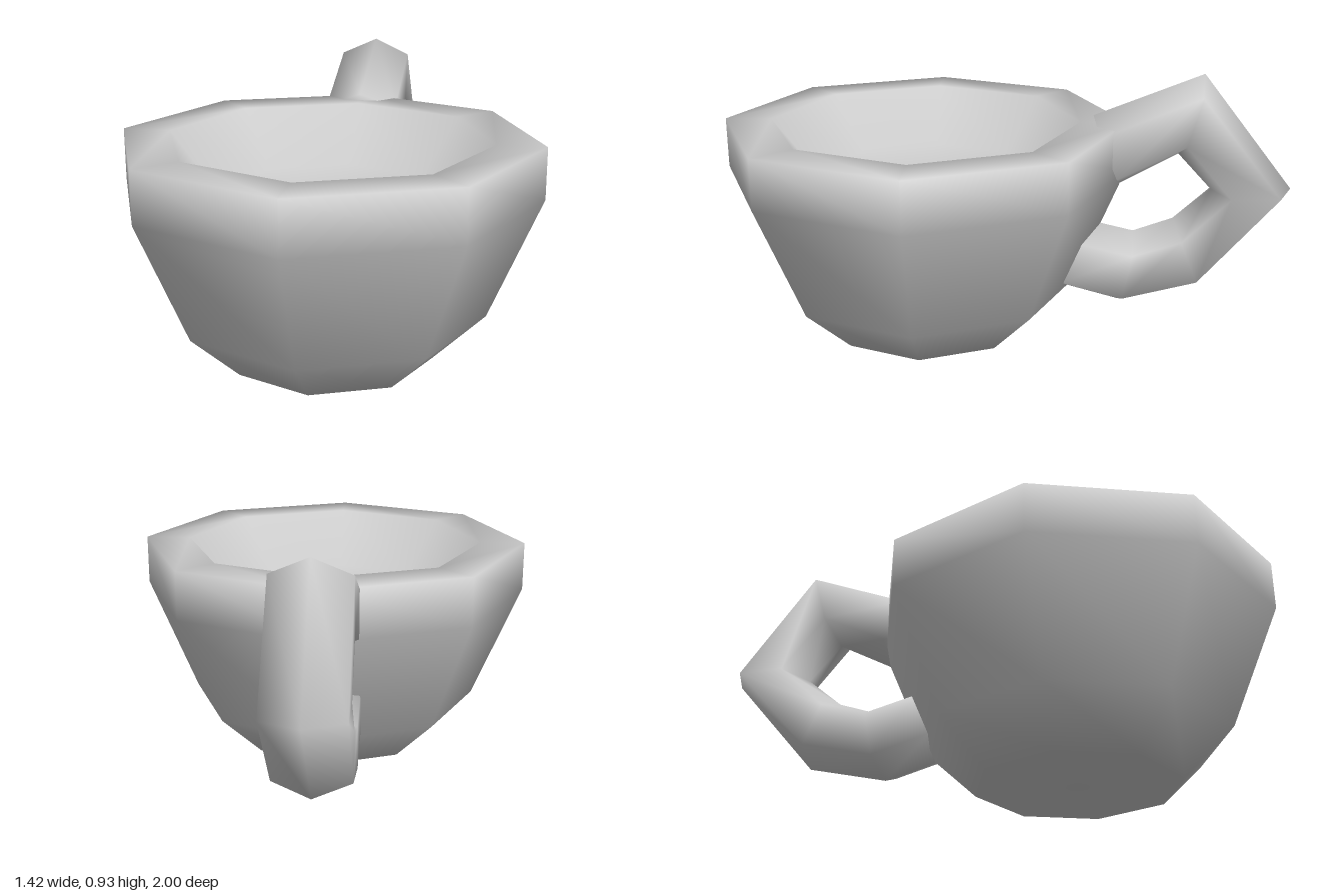
import * as THREE from 'three';

const material = new THREE.MeshStandardMaterial({ color: 0xcccccc });

// Eight-sided bowl: base, outer wall, flat rim, sloping inner lip and flat inner floor
function makeBowl() {
  const profile = [
    [0, 0], [0.357, 0], [0.532, 0.165], [0.708, 0.58], [0.708, 0.755],
    [0.545, 0.755], [0.39, 0.56], [0, 0.56],
  ].map(([r, y]) => new THREE.Vector2(r, y));
  const bowl = new THREE.Mesh(new THREE.LatheGeometry(profile, 8), material);
  bowl.name = 'bowl';
  bowl.position.z = 0.29;
  return bowl;
}

// Six-sided bent tube, each ring given by its outer and inner [z, y] corner
function makeHandle() {
  const rings = [
    [[-0.30, 0.78], [-0.40, 0.535]],
    [[-0.68, 0.93], [-0.60, 0.645]],
    [[-1.0, 0.52], [-0.72, 0.515]],
    [[-0.69, 0.16], [-0.59, 0.405]],
    [[-0.40, 0.09], [-0.45, 0.355]],
    [[-0.18, 0.15], [-0.26, 0.40]],
  ];
  // Ring corners: [x, share of the way from outer to inner corner]
  const section = [[0, 0], [0.13, 0.2], [0.13, 0.8], [0, 1], [-0.13, 0.8], [-0.13, 0.2]];
  const sides = section.length;
  const positions = [], index = [];
  const addPoint = ([outer, inner], x, t) => positions.push(
    x,
    THREE.MathUtils.lerp(outer[1], inner[1], t),
    THREE.MathUtils.lerp(outer[0], inner[0], t),
  );
  rings.forEach((ring) => section.forEach(([x, t]) => addPoint(ring, x, t)));
  // End cap centres
  const last = (rings.length - 1) * sides;
  const startCentre = rings.length * sides, endCentre = startCentre + 1;
  addPoint(rings[0], 0, 0.5);
  addPoint(rings[rings.length - 1], 0, 0.5);
  for (let k = 0; k < sides; k++) {
    const next = (k + 1) % sides;
    for (let base = 0; base < last; base += sides) {
      const a = base + k, b = base + next;
      index.push(a, b, a + sides, b, b + sides, a + sides);
    }
    index.push(startCentre, next, k, endCentre, last + k, last + next);
  }
  const geometry = new THREE.BufferGeometry();
  geometry.setAttribute('position', new THREE.Float32BufferAttribute(positions, 3));
  geometry.setIndex(index);
  geometry.computeVertexNormals();
  const handle = new THREE.Mesh(geometry, material);
  handle.name = 'handle';
  return handle;
}

export function createModel() {
  const cup = new THREE.Group();
  cup.name = 'cup';
  cup.add(makeBowl(), makeHandle());
  return cup;
}
